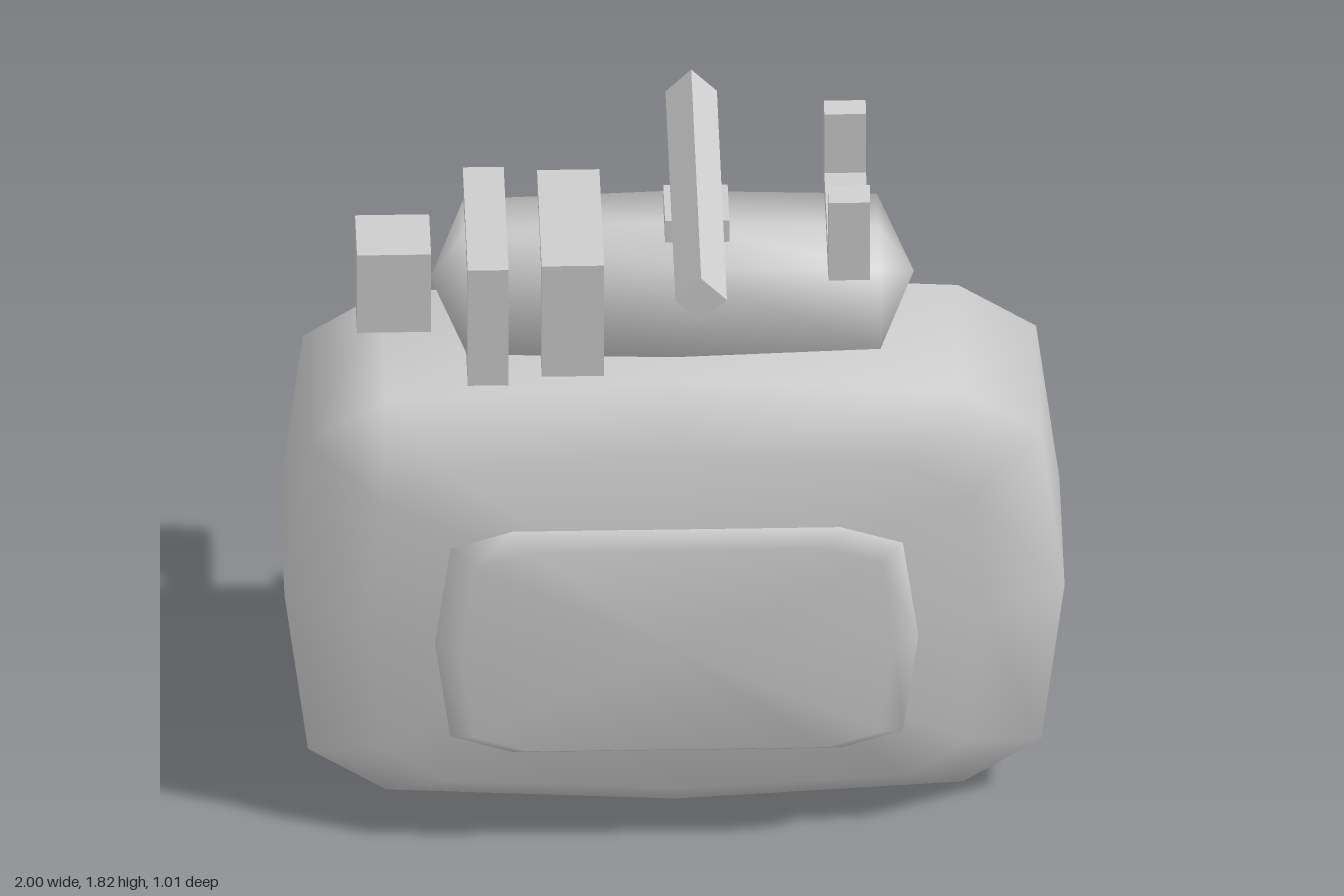
import * as THREE from 'three';

const canvasGrey = new THREE.MeshStandardMaterial({ color: 0xcccccc });
canvasGrey.name = 'canvas grey';

// Smooth closed loft along z: rings of 2D points, with an apex at each end.
// sections: [z, points]; points run counter-clockwise seen from +z.
function loft(sections, startZ, endZ) {
  const n = sections[0][1].length;
  const pos = [];
  const index = [];
  for (const [z, points] of sections) for (const [x, y] of points) pos.push(x, y, z);
  const start = pos.length / 3;
  pos.push(0, 0, startZ, 0, 0, endZ);
  const last = (sections.length - 1) * n;
  for (let i = 0; i < n; i++) {
    const j = (i + 1) % n;
    for (let r = 0; r < last; r += n) {
      index.push(r + i, r + j, r + n + j, r + i, r + n + j, r + n + i);
    }
    index.push(start, j, i, start + 1, last + i, last + j);
  }
  const geometry = new THREE.BufferGeometry();
  geometry.setAttribute('position', new THREE.Float32BufferAttribute(pos, 3));
  geometry.setIndex(index);
  geometry.computeVertexNormals();
  return geometry;
}

const scaled = (points, s) => points.map(([x, y]) => [x * s, y * s]);

// Full outline from its upper right quarter, listed from the right side to the top.
function mirrored(quarter) {
  const upper = [...quarter];
  for (const [x, y] of [...quarter].reverse()) if (x > 0) upper.push([-x, y]);
  const lower = upper.filter(([, y]) => y > 0).reverse().map(([x, y]) => [x, -y]);
  return [...upper, ...lower];
}

export function createModel() {
  const model = new THREE.Group();
  model.name = 'backpack';

  const add = (name, geometry, x, y, z) => {
    const mesh = new THREE.Mesh(geometry, canvasGrey);
    mesh.name = name;
    mesh.position.set(x, y, z);
    model.add(mesh);
    return mesh;
  };
  // Box given by its limits on each axis
  const box = (name, [x0, x1], [y0, y1], [z0, z1]) =>
    add(name, new THREE.BoxGeometry(x1 - x0, y1 - y0, z1 - z0),
      (x0 + x1) / 2, (y0 + y1) / 2, (z0 + z1) / 2);

  // Main bag with bevelled front and back
  const bag = mirrored([[1, 0], [0.94, 0.465], [0.74, 0.592], [0, 0.632]]);
  add('mainBag', loft([
    [-0.41, scaled(bag, 0.8)], [-0.255, bag], [0.255, bag], [0.405, scaled(bag, 0.8)],
  ], -0.413, 0.41), 0, 0.632, -0.007);

  // Front pocket
  const pocket = mirrored([[0.62, 0], [0.58, 0.285], [0.42, 0.335]]);
  add('frontPocket', loft([
    [-0.049, scaled(pocket, 0.9)], [0, pocket], [0.049, scaled(pocket, 0.9)],
  ], -0.05, 0.05), 0, 0.615, 0.455);

  // Bedroll: six-sided and pointed at both ends
  const rollEnd = mirrored([[0.182, 0.12], [0, 0.137]]);
  const rollMiddle = mirrored([[0.182, 0.137], [0, 0.158]]);
  const roll = add('bedroll', loft([
    [-0.53, rollEnd], [0, rollMiddle], [0.53, rollEnd],
  ], -0.62, 0.62), 0, 1.432, -0.007);
  roll.rotation.y = Math.PI / 2;

  // Straps around the bedroll and the block at its right end
  box('outerStrap', [-0.53, -0.425], [1.255, 1.605], [-0.258, 0.235]);
  box('innerStrap', [-0.34, -0.18], [1.27, 1.605], [-0.24, 0.22]);
  box('endBlock', [-0.81, -0.62], [1.325, 1.56], [-0.107, 0.085]);

  // Diamond-section bar on a small mount
  box('barMount', [-0.02, 0.145], [1.58, 1.645], [-0.097, 0.075]);
  const side = 0.066 * Math.SQRT2;
  const bar = add('crossBar', new THREE.BoxGeometry(side, side, 0.998), 0.062, 1.67, -0.005);
  bar.rotation.z = Math.PI / 4;

  // U-shaped bracket with pointed arms, drawn across z and extruded along x
  const bracket = new THREE.Shape([
    [-0.235, 1.56], [0.245, 1.56], [0.245, 1.795], [0.218, 1.818], [0.18, 1.8], [0.18, 1.622],
    [-0.172, 1.622], [-0.172, 1.8], [-0.187, 1.818], [-0.235, 1.795],
  ].map(([x, y]) => new THREE.Vector2(x, y)));
  const hook = add('bracket',
    new THREE.ExtrudeGeometry(bracket, { depth: 0.107, bevelEnabled: false }), 0.395, 0, 0);
  hook.rotation.y = Math.PI / 2;

  return model;
}
